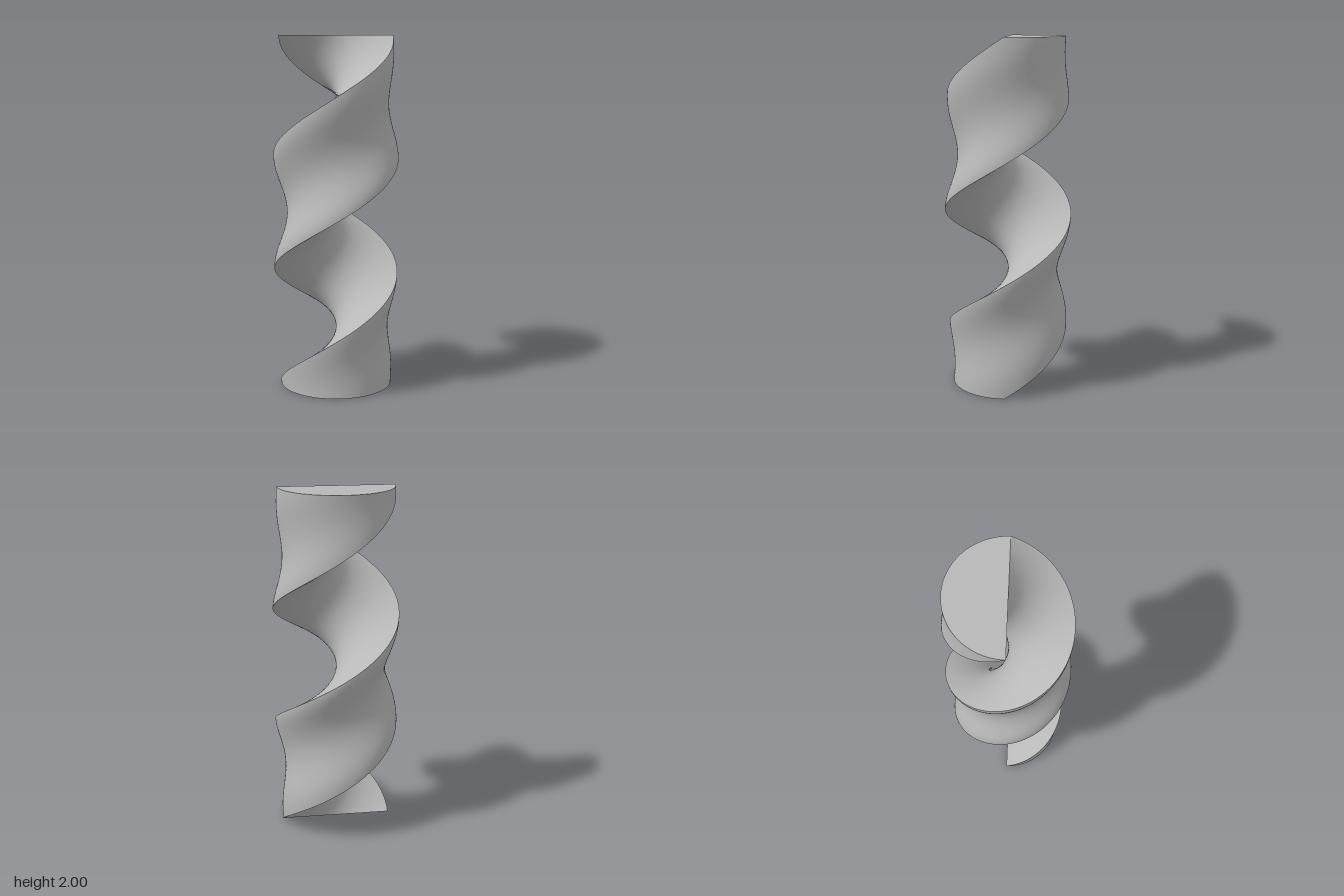
import * as THREE from 'three';
import { ParametricGeometry } from 'three/addons/geometries/ParametricGeometry.js';

const HEIGHT = 2;
const TURNS = 1.5;
const RADIUS = 0.32;
const SWELL = 0.04;
const LAYERS = 180;

// Place a point of the half-oval section (across, behind) at height fraction v.
// Towards mid-height the section gets wider and shallower while it twists.
function place(across, behind, v, target) {
  const angle = Math.PI + v * TURNS * Math.PI * 2;
  const swell = SWELL * Math.sin(v * Math.PI);
  const a = across * (RADIUS + swell);
  const b = behind * (RADIUS - swell);
  target.set(
    a * Math.cos(angle) - b * Math.sin(angle),
    v * HEIGHT,
    -a * Math.sin(angle) - b * Math.cos(angle)
  );
}

export function createModel() {
  const group = new THREE.Group();
  group.name = 'twistedColumn';
  const gray = new THREE.MeshStandardMaterial({ color: 0xb8b8b8 });
  gray.name = 'gray';

  const add = (name, geometry) => {
    const mesh = new THREE.Mesh(geometry, gray);
    mesh.name = name;
    group.add(mesh);
  };

  // Rounded outer side
  add('roundedSide', new ParametricGeometry((u, v, target) => {
    place(Math.cos(u * Math.PI), Math.sin(u * Math.PI), v, target);
  }, 64, LAYERS));

  // Flat cut side, twisted into a helicoid
  add('twistedFlatSide', new ParametricGeometry((u, v, target) => {
    place(2 * u - 1, 0, v, target);
  }, 16, LAYERS));

  // Half-disc end caps
  const halfDisc = new THREE.Shape();
  halfDisc.absarc(0, 0, RADIUS, 0, Math.PI, false);
  halfDisc.closePath();
  add('topCap', new THREE.ShapeGeometry(halfDisc, 64).rotateX(-Math.PI / 2).translate(0, HEIGHT, 0));
  add('bottomCap', new THREE.ShapeGeometry(halfDisc, 64).rotateX(Math.PI / 2));

  return group;
}
